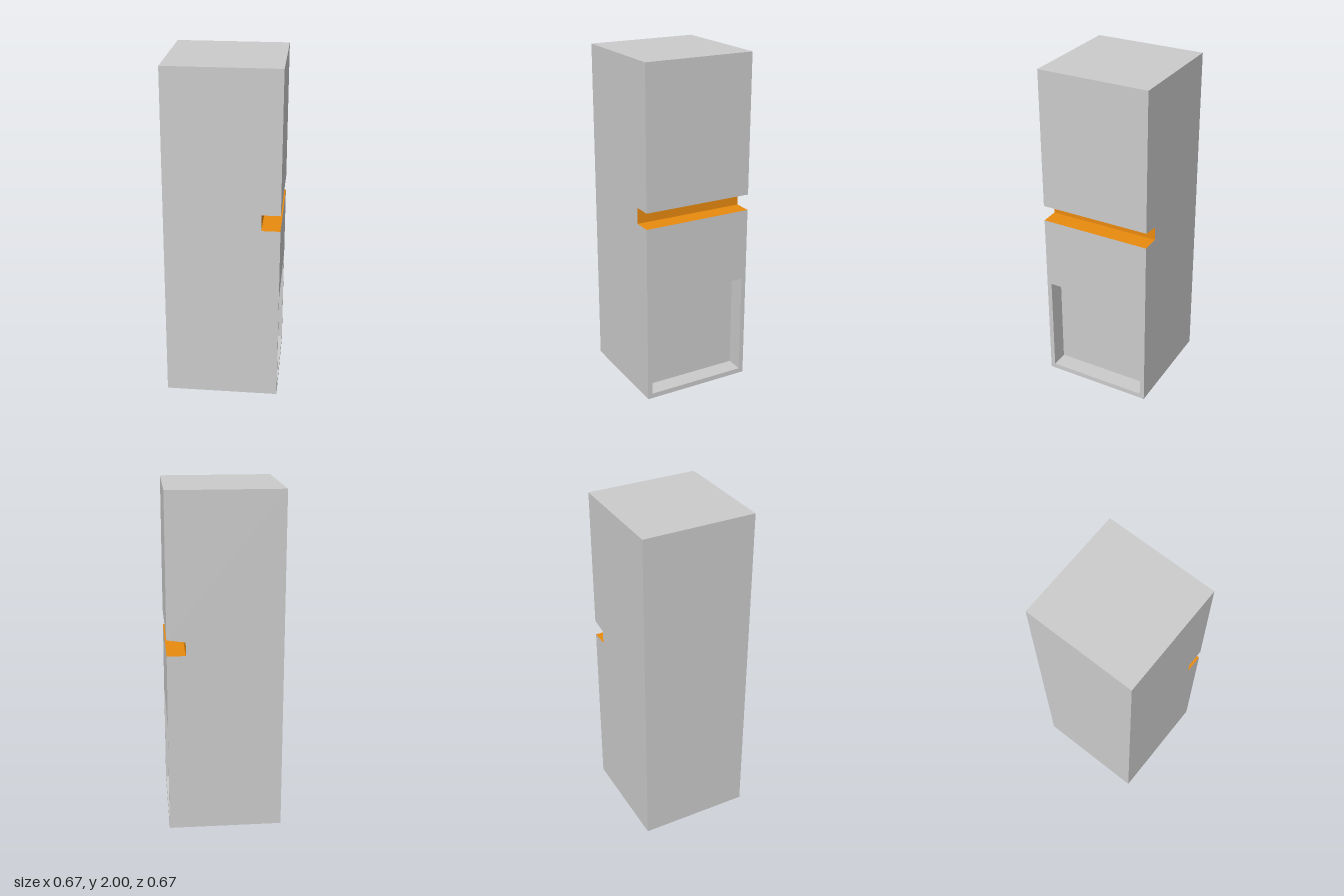
import * as THREE from 'three';
import { mergeGeometries } from 'three/addons/utils/BufferGeometryUtils.js';

const R = 0.333, H = 2;                          // half width, height
const SX = 0.225, S0 = 1.075, S1 = 1.17;         // slot depth line, bottom, top
const DX = 0.228, DZ = 0.305, D0 = 0.03, D1 = 0.64; // recess back, half width, bottom, top

const grey = new THREE.MeshStandardMaterial({ color: 0xcccccc, flatShading: true });
const orange = new THREE.MeshStandardMaterial({ color: 0xe88a0e, flatShading: true });

// Four corners, counter-clockwise seen from the visible side
function quad(a, b, c, d) {
  const g = new THREE.BufferGeometry();
  g.setAttribute('position', new THREE.Float32BufferAttribute([a, b, c, a, c, d].flat(), 3));
  g.computeVertexNormals();
  return g;
}

function flat(points, hole) {
  const shape = new THREE.Shape(points.map(p => new THREE.Vector2(...p)));
  if (hole) shape.holes.push(new THREE.Path(hole.map(p => new THREE.Vector2(...p))));
  const g = new THREE.ShapeGeometry(shape).toNonIndexed();
  g.deleteAttribute('uv');
  return g;
}

const rect = (w, y0, y1) => [[-w, y0], [w, y0], [w, y1], [-w, y1]];

// Side outline with the slot cut in; innerTop is the height of the slot's inner top corner
const outline = innerTop => [[-R, 0], [R, 0], [R, S0], [SX, S0], [SX, innerTop], [R, S1], [R, H], [-R, H]];

export function createModel() {
  const group = new THREE.Group();
  const add = (name, parts, material) => {
    const mesh = new THREE.Mesh(mergeGeometries(parts), material);
    mesh.name = name;
    group.add(mesh);
  };
  const backTop = 1.155; // the slot's ceiling dips slightly at the back

  // Outer walls, top and bottom
  add('towerBody', [
    flat(outline(S1)).translate(0, 0, R),
    flat(outline(backTop).map(([x, y]) => [-x, y])).rotateY(Math.PI).translate(0, 0, -R),
    quad([-R, 0, -R], [-R, 0, R], [-R, H, R], [-R, H, -R]),
    quad([-R, H, R], [R, H, R], [R, H, -R], [-R, H, -R]),
    quad([-R, 0, -R], [R, 0, -R], [R, 0, R], [-R, 0, R]),
    quad([R, S1, R], [R, S1, -R], [R, H, -R], [R, H, R]),
    flat(rect(R, 0, S0), rect(DZ, D0, D1)).rotateY(Math.PI / 2).translate(R, 0, 0),
  ], grey);

  // Floor, inner wall and ceiling of the slot
  add('slotLining', [
    quad([SX, S0, R], [R, S0, R], [R, S0, -R], [SX, S0, -R]),
    quad([SX, S0, R], [SX, S0, -R], [SX, backTop, -R], [SX, S1, R]),
    quad([SX, S1, R], [SX, backTop, -R], [R, S1, -R], [R, S1, R]),
  ], orange);

  // Back panel and four reveals of the lower recess
  add('lowerRecess', [
    quad([DX, D0, DZ], [DX, D0, -DZ], [DX, D1, -DZ], [DX, D1, DZ]),
    quad([DX, D0, DZ], [R, D0, DZ], [R, D0, -DZ], [DX, D0, -DZ]),
    quad([DX, D1, -DZ], [R, D1, -DZ], [R, D1, DZ], [DX, D1, DZ]),
    quad([DX, D0, -DZ], [R, D0, -DZ], [R, D1, -DZ], [DX, D1, -DZ]),
    quad([R, D0, DZ], [DX, D0, DZ], [DX, D1, DZ], [R, D1, DZ]),
  ], grey);

  return group;
}
